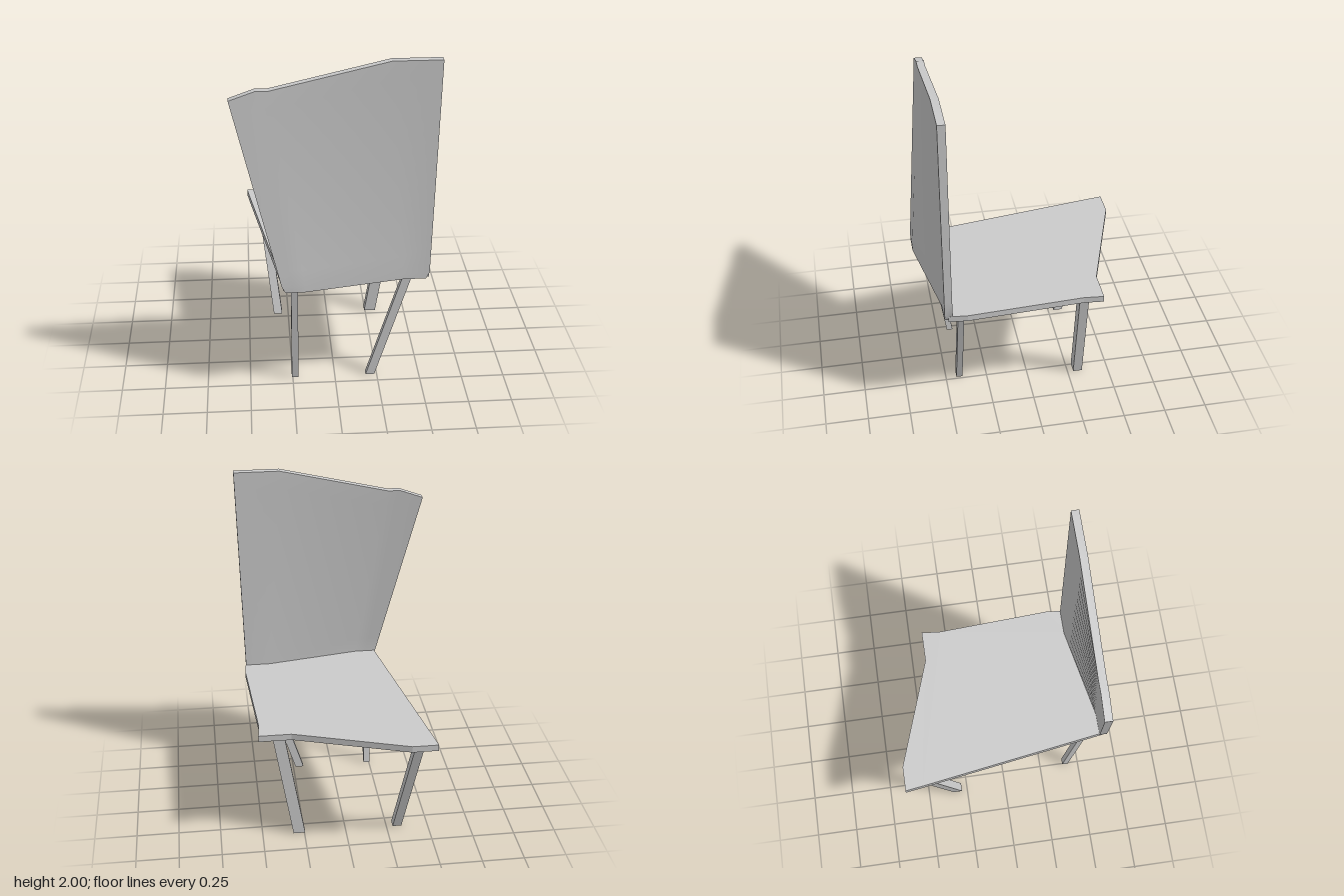
import * as THREE from 'three';
import { toCreasedNormals } from 'three/addons/utils/BufferGeometryUtils.js';

const material = new THREE.MeshStandardMaterial({ color: 0xcccccc });
const SEAT_BOTTOM = 0.695, SEAT_TOP = 0.733, BACK_THICKNESS = 0.045;

// Skewed slab outlined in x, z
function seatGeometry() {
  const outline = [
    [-0.49, -0.625], [-0.34, -0.625], [0.32, -0.405], [0.51, -0.405], [0.5, -0.29], [0.54, 0.39],
    [0.53, 0.5], [0.38, 0.5], [-0.18, 0.605], [-0.3, 0.605], [-0.475, -0.52],
  ];
  const shape = new THREE.Shape(outline.map(([x, z]) => new THREE.Vector2(x, -z)));
  const geometry = new THREE.ExtrudeGeometry(shape, { depth: SEAT_TOP - SEAT_BOTTOM, bevelEnabled: false });
  return geometry.rotateX(-Math.PI / 2).translate(0, SEAT_BOTTOM, 0);
}

// Thick ruled sheet between the bent seat edge and a straight, slanting top edge
function backrestGeometry() {
  const bottom = [[-0.31, 0.627], [-0.25, 0.627], [-0.18, 0.627], [0.38, 0.521], [0.53, 0.521]]; // x, z
  const top = [[-0.57, 1.8], [-0.43, 1.85], [-0.36, 1.85], [0.29, 2], [0.56, 2]]; // x, y
  const n = bottom.length, steps = 12, rings = [];

  const ring = (pointAt) => {
    const outer = bottom.map((_, i) => pointAt(i));
    const inner = outer.map(([x, y, z]) => [x, y, z - BACK_THICKNESS]).reverse();
    return [...outer, ...inner];
  };
  // Chamfered foot, level with the underside of the seat
  rings.push(ring((i) => [bottom[i][0] + (i === 0 ? 0.02 : i === n - 1 ? -0.02 : 0), SEAT_BOTTOM, bottom[i][1]]));
  for (let j = 0; j <= steps; j++) {
    const t = j / steps;
    rings.push(ring((i) => [
      THREE.MathUtils.lerp(bottom[i][0], top[i][0], t),
      THREE.MathUtils.lerp(SEAT_TOP, top[i][1], t),
      THREE.MathUtils.lerp(bottom[i][1], 0.521, t),
    ]));
  }

  const positions = [];
  const quad = (a, b, c, d) => positions.push(...a, ...b, ...c, ...a, ...c, ...d);
  for (let j = 0; j < rings.length - 1; j++) {
    for (let i = 0; i < 2 * n; i++) {
      const k = (i + 1) % (2 * n);
      quad(rings[j][i], rings[j][k], rings[j + 1][k], rings[j + 1][i]);
    }
  }
  // Top and bottom edges
  const first = rings[0], last = rings[rings.length - 1];
  for (let i = 0; i < n - 1; i++) {
    const m = 2 * n - 1 - i;
    quad(last[i], last[i + 1], last[m - 1], last[m]);
    quad(first[m], first[m - 1], first[i + 1], first[i]);
  }
  const geometry = new THREE.BufferGeometry();
  geometry.setAttribute('position', new THREE.Float32BufferAttribute(positions, 3));
  return toCreasedNormals(geometry, 0.6);
}

// Square bar sheared from its foot to its head; foot and head are [x, z] centres
function legGeometry(foot, head, width, depth) {
  const geometry = new THREE.BoxGeometry(width, SEAT_BOTTOM + 0.005, depth);
  geometry.translate(0, (SEAT_BOTTOM + 0.005) / 2, 0);
  const p = geometry.attributes.position;
  for (let i = 0; i < p.count; i++) {
    const end = p.getY(i) > 0.1 ? head : foot;
    p.setX(i, p.getX(i) + end[0]);
    p.setZ(i, p.getZ(i) + end[1]);
  }
  const flat = geometry.toNonIndexed();
  flat.computeVertexNormals();
  return flat;
}

export function createModel() {
  const model = new THREE.Group();
  model.name = 'chair';
  const add = (name, geometry) => {
    const mesh = new THREE.Mesh(geometry, material);
    mesh.name = name;
    model.add(mesh);
  };

  add('seat', seatGeometry());
  add('backrest', backrestGeometry());

  // Legs: name, foot, head, width, depth
  const legs = [
    ['openSideRightLeg', [-0.315, -0.313], [-0.4, -0.535], 0.053, 0.055],
    ['openSideLeftLeg', [0.28, -0.313], [0.395, -0.313], 0.07, 0.055],
    ['backrestRightLeg', [-0.236, 0.417], [-0.236, 0.522], 0.039, 0.037],
    ['backrestLeftLeg', [0.21, 0.417], [0.428, 0.417], 0.052, 0.037],
  ];
  for (const [name, ...size] of legs) add(name, legGeometry(...size));
  return model;
}
